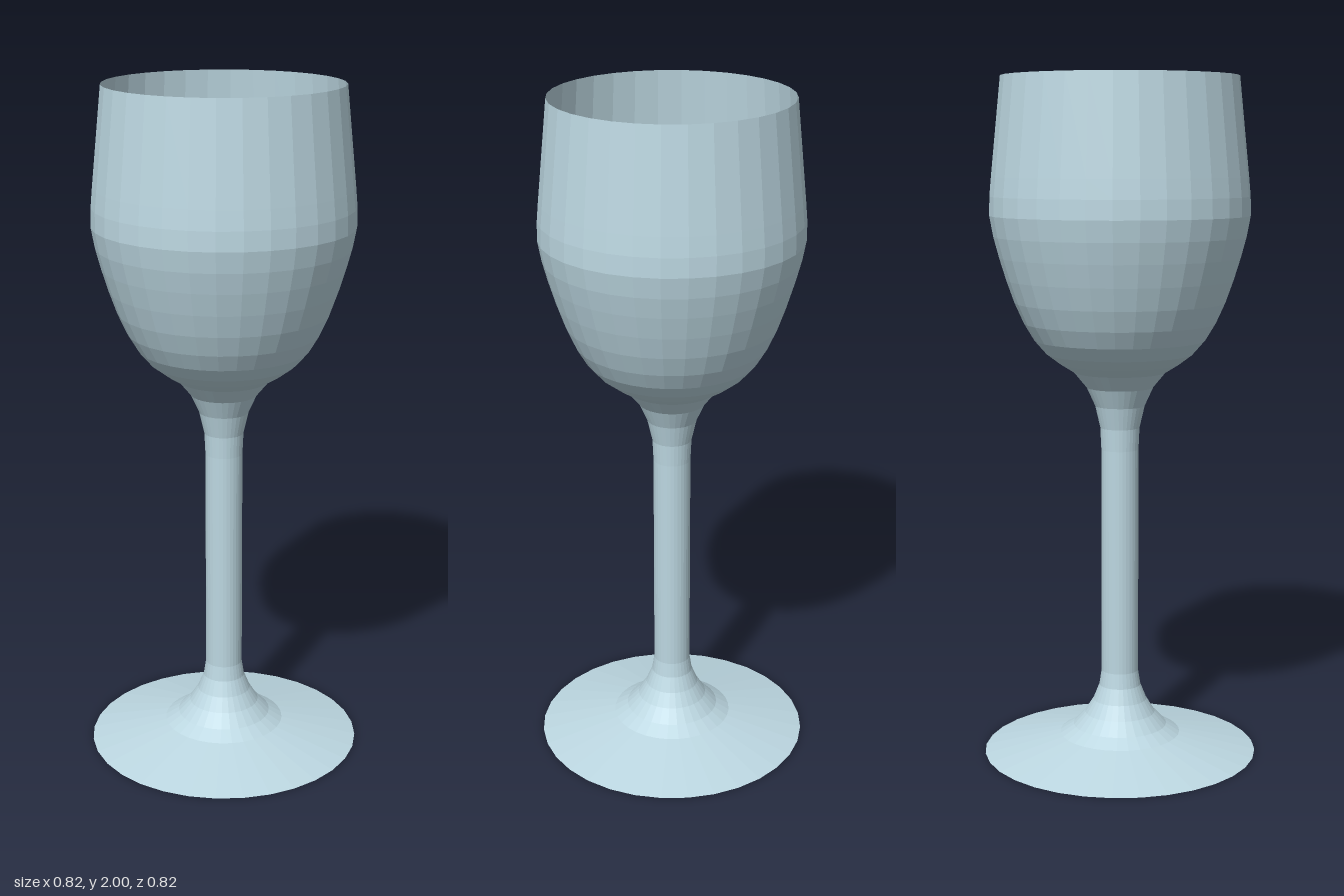
import * as THREE from 'three';

const SIDES = 32;

// Turned part from [radius, height] pairs, outside listed upward
function turned(name, profile, material) {
  const points = profile.map(([r, y]) => new THREE.Vector2(r, y));
  const mesh = new THREE.Mesh(new THREE.LatheGeometry(points, SIDES), material);
  mesh.name = name;
  return mesh;
}

export function createModel() {
  const glass = new THREE.MeshStandardMaterial({ color: 0xbcd7e1, flatShading: true });
  const group = new THREE.Group();
  group.name = 'wineGlass';

  // Flat underside, shallow cone and flare into the stem
  group.add(turned('foot', [
    [0, 0], [0.408, 0], [0.18, 0.053], [0.14, 0.078], [0.105, 0.115],
    [0.08, 0.155], [0.062, 0.2], [0.055, 0.245],
  ], glass));

  group.add(turned('stem', [[0.055, 0.245], [0.055, 0.92]], glass));

  // Outer wall
  group.add(turned('bowl', [
    [0.055, 0.92], [0.058, 0.985], [0.073, 1.05], [0.098, 1.105], [0.135, 1.15],
    [0.175, 1.175], [0.215, 1.205], [0.25, 1.245], [0.28, 1.295], [0.307, 1.355],
    [0.33, 1.42], [0.35, 1.485], [0.366, 1.545], [0.377, 1.605], [0.376, 1.66],
    [0.371, 1.715], [0.342, 2],
  ], glass));

  // Inner wall: thin sides, conical bottom and small flat floor
  group.add(turned('bowlInside', [
    [0.342, 2], [0.365, 1.715], [0.37, 1.605], [0.355, 1.525],
    [0.322, 1.42], [0.271, 1.31], [0.051, 1.14], [0, 1.14],
  ], glass));

  return group;
}
